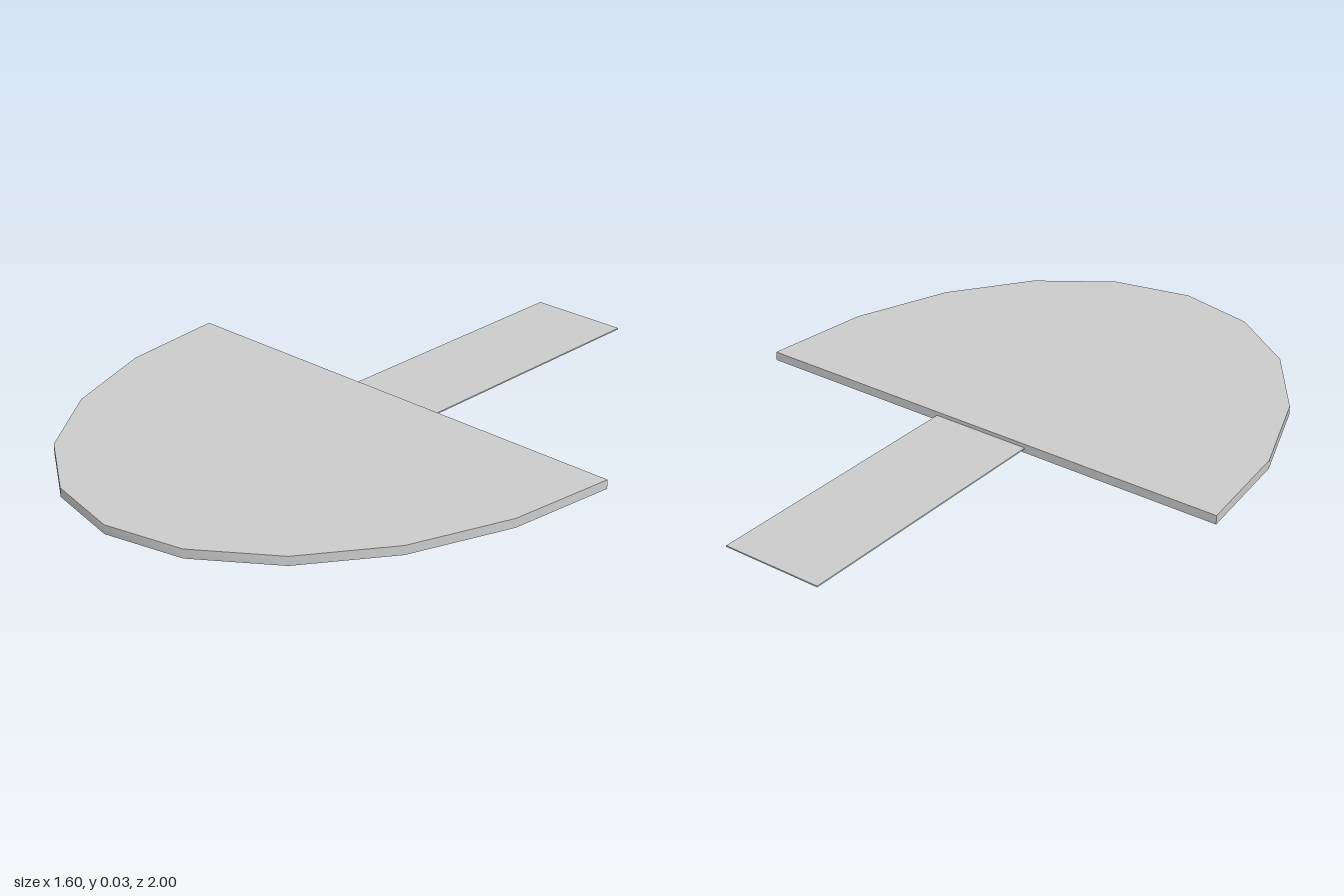
import * as THREE from 'three';
import { toCreasedNormals } from 'three/addons/utils/BufferGeometryUtils.js';

export function createModel() {
  const group = new THREE.Group();
  const material = new THREE.MeshStandardMaterial({ color: 0xcccccc });
  const thickness = 0.028, backZ = -0.11, segments = 10;

  // Blade: a half-ellipse slab with a straight back edge
  const outline = [];
  for (let i = 0; i <= segments; i++) {
    const a = (Math.PI * i) / segments;
    outline.push(new THREE.Vector2(0.8 * Math.cos(a), backZ + 1.11 * Math.sin(a)));
  }
  const slab = new THREE.ExtrudeGeometry(new THREE.Shape(outline), { depth: thickness, bevelEnabled: false });
  slab.rotateX(Math.PI / 2).translate(0, thickness, 0);
  const blade = new THREE.Mesh(toCreasedNormals(slab, Math.PI / 6), material);
  blade.name = 'blade';
  group.add(blade);

  // Handle: a thin flat strip running back from mid-thickness
  const length = 1 + backZ + 0.01;
  const handle = new THREE.Mesh(new THREE.BoxGeometry(0.32, 0.004, length), material);
  handle.position.set(0.003, 0.014, -1 + length / 2);
  handle.name = 'handle';
  group.add(handle);

  return group;
}
